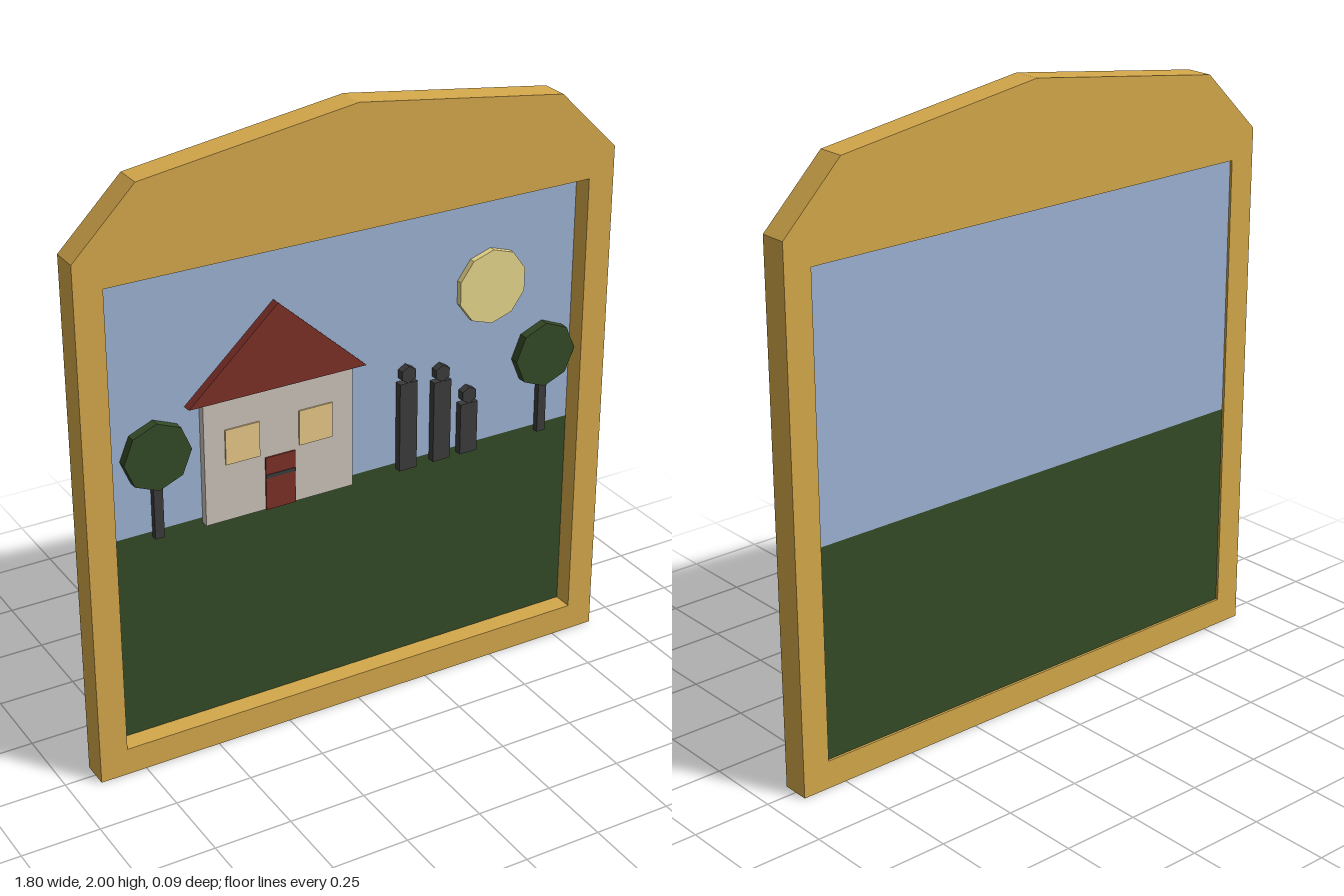
import * as THREE from 'three';

const mat = (name, color) => {
  const m = new THREE.MeshStandardMaterial({ color });
  m.name = name;
  return m;
};

export function createModel() {
  const wood = mat('golden wood', 0xd4a84b);
  const skyBlue = mat('sky blue', 0x9cb2d3);
  const green = mat('dark green', 0x344a26);
  const wall = mat('pale wall', 0xcbc2b9);
  const red = mat('brick red', 0x7b3028);
  const glow = mat('warm window', 0xe7c888);
  const sunYellow = mat('sun yellow', 0xe7d78b);
  const dark = mat('charcoal', 0x3b3b3b);

  const model = new THREE.Group();
  model.name = 'framedScene';
  const back = -0.02; // front face of the picture panel
  const base = 0.757; // foot of everything standing in the scene

  const add = (name, geometry, material, parent = model) => {
    const mesh = new THREE.Mesh(geometry, material);
    mesh.name = name;
    parent.add(mesh);
    return mesh;
  };
  const group = (name) => {
    const g = new THREE.Group();
    g.name = name;
    model.add(g);
    return g;
  };
  // box given by its extents
  const block = (x0, x1, y0, y1, z0, z1) =>
    new THREE.BoxGeometry(x1 - x0, y1 - y0, z1 - z0)
      .translate((x0 + x1) / 2, (y0 + y1) / 2, (z0 + z1) / 2);
  // upright polygonal disc with a corner at the top, standing off the panel
  const disc = (x, y, r, sides, depth) =>
    new THREE.CylinderGeometry(r, r, depth, sides).toNonIndexed()
      .rotateX(Math.PI / 2).translate(x, y, back + depth / 2);
  // extruded outline
  const slab = (points, z, depth, hole) => {
    const shape = new THREE.Shape(points.map(([x, y]) => new THREE.Vector2(x, y)));
    if (hole) shape.holes.push(new THREE.Path(hole.map(([x, y]) => new THREE.Vector2(x, y))));
    return new THREE.ExtrudeGeometry(shape, { depth, bevelEnabled: false }).translate(0, 0, z);
  };

  // Frame with a peaked top and a rectangular opening
  add('frame', slab(
    [[-0.9, 0], [0.9, 0], [0.9, 1.7], [0.7, 1.9], [0, 2], [-0.7, 1.9], [-0.9, 1.7]],
    -0.045, 0.09,
    [[-0.81, 0.09], [-0.81, 1.61], [0.81, 1.61], [0.81, 0.09]],
  ), wood);

  // Picture panel
  add('sky', block(-0.81, 0.81, 0.775, 1.61, -0.037, back), skyBlue);
  add('ground', block(-0.81, 0.81, 0.09, 0.775, -0.037, back), green);

  // House
  const house = group('house');
  const face = 0.005;
  add('walls', block(-0.5, 0, base, 1.155, back, face), wall, house);
  add('roof', slab([[-0.547, 1.155], [0.047, 1.155], [-0.25, 1.427]], back, 0.03), red, house);
  for (const x of [-0.375, -0.128]) {
    add('window', block(x - 0.057, x + 0.057, 0.945, 1.06, face, face + 0.005), glow, house);
  }
  add('door', block(-0.3, -0.2, base, 0.933, face, face + 0.005), red, house);
  add('doorBar', block(-0.3, -0.2, 0.864, 0.876, face + 0.005, face + 0.007), dark, house);

  // Trees
  for (const x of [-0.65, 0.65 + 0.05]) {
    const tree = group('tree');
    add('trunk', block(x - 0.015, x + 0.015, base, 0.95, back, 0), dark, tree);
    add('crown', disc(x, 1.03, 0.109, 8, 0.03), green, tree);
  }

  // Family of three
  for (const [x, top] of [[0.2, 1.055], [0.322, 1.03], [0.421, 0.93]]) {
    const person = group('person');
    add('body', block(x - 0.031, x + 0.031, base, top, back, 0.005), dark, person);
    add('head', disc(x, top + 0.027, 0.028, 6, 0.025), dark, person);
  }

  // Sun
  add('sun', disc(0.5, 1.305, 0.122, 10, 0.02), sunYellow);

  // Cylinder shading kept faceted
  model.traverse((o) => {
    if (o.isMesh && !o.geometry.index) o.geometry.computeVertexNormals();
  });
  return model;
}
